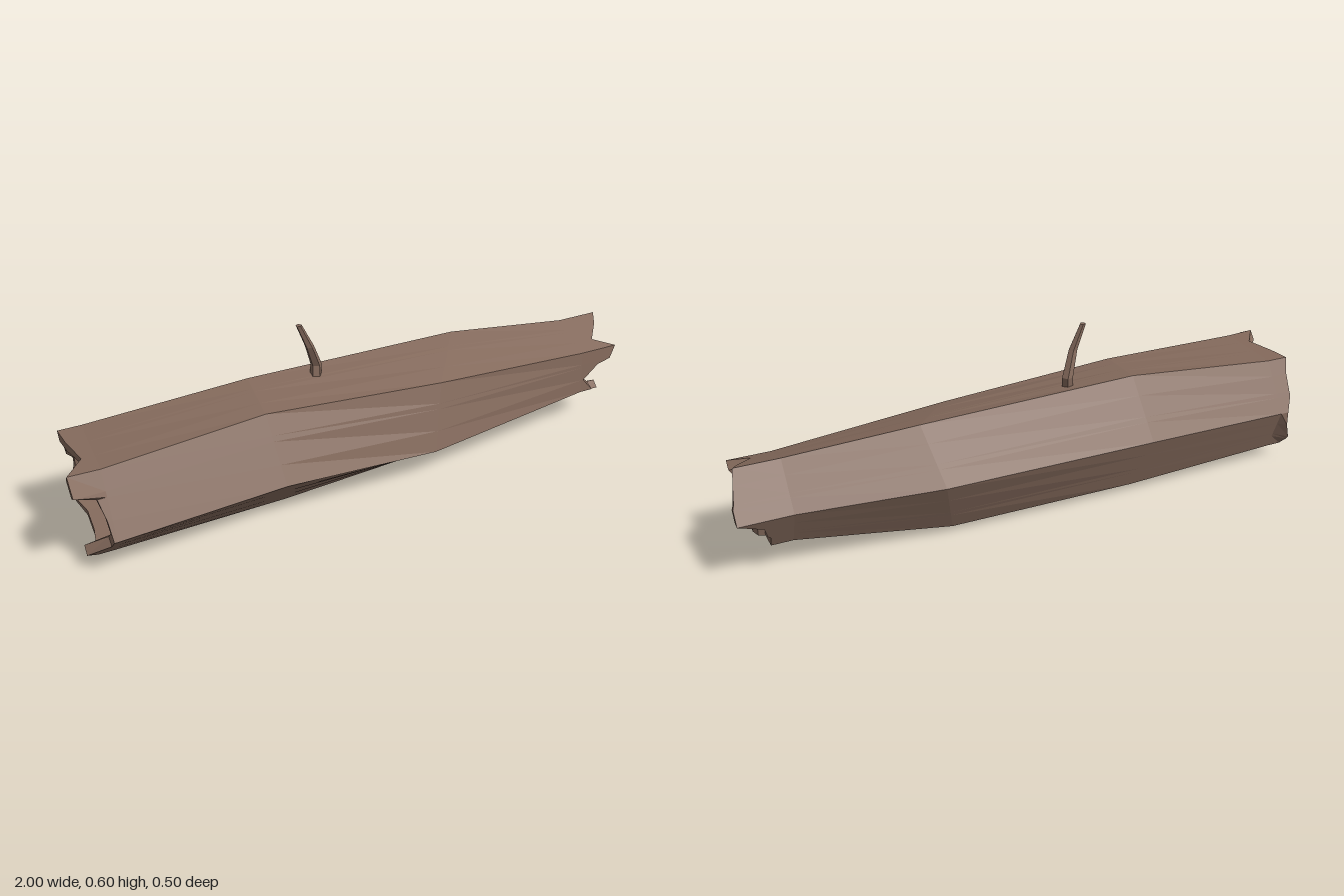
import * as THREE from 'three';

const bark = new THREE.MeshStandardMaterial({ color: 0x846a5c, flatShading: true, side: THREE.DoubleSide });
const wood = new THREE.MeshStandardMaterial({ color: 0x9a937c, flatShading: true, side: THREE.DoubleSide });

// Six ridges running along the trunk: [x, y, z] at four stations
const ridges = [
  [[-0.91, 0.17, 0.245], [-0.35, 0.18, 0.215], [0.2, 0.125, 0.178], [0.9, 0.15, 0.1]],
  [[-0.91, 0.012, 0.085], [-0.3, 0.002, 0.055], [0.3, 0.01, 0.016], [0.9, 0.08, 0.005]],
  [[-0.93, 0.05, -0.165], [-0.33, 0.03, -0.165], [0.32, 0.025, -0.148], [0.9, 0.1, -0.125]],
  [[-0.94, 0.205, -0.22], [-0.37, 0.22, -0.235], [0.37, 0.235, -0.25], [0.92, 0.228, -0.187]],
  [[-0.95, 0.367, -0.115], [-0.36, 0.408, -0.095], [0.4, 0.396, -0.107], [0.92, 0.361, -0.07]],
  [[-0.93, 0.365, 0.135], [-0.37, 0.388, 0.098], [0.25, 0.345, 0.105], [0.92, 0.305, 0.085]],
];
// Points along each face, and how far the splintered bark reaches there
const steps = [0, 0.3, 0.38, 0.7];
const leftEnd = [
  -0.91, -0.91, -0.91, -0.98,
  -0.94, -0.93, -0.93, -0.93,
  -0.95, -0.95, -0.95, -0.93,
  -0.93, -0.955, -0.955, -0.96,
  -0.975, -0.965, -0.96, -0.94,
  -1, -1, -0.93, -0.915,
];
const rightEnd = [
  0.88, 0.88, 0.93, 0.93,
  0.93, 0.92, 0.9, 0.9,
  0.9, 0.9, 0.91, 0.92,
  1, 1, 0.995, 0.985,
  0.975, 0.95, 0.94, 0.9,
  0.97, 0.95, 0.9, 0.84,
];
// Splinters that bend away from the left end
const flare = { 9: 1.1, 10: 1.12, 11: 1.08, 20: 1.02, 21: 1.24 };

function station(s) {
  const ring = [];
  for (let e = 0; e < 6; e++) {
    const a = new THREE.Vector3(...ridges[e][s]);
    const b = new THREE.Vector3(...ridges[(e + 1) % 6][s]);
    for (const t of steps) ring.push(a.clone().lerp(b, t));
  }
  return ring;
}

function shrink(ring, f, cy, cz, xs) {
  return ring.map((p, i) => new THREE.Vector3(
    Array.isArray(xs) ? xs[i] : xs, cy + (p.y - cy) * f, cz + (p.z - cz) * f));
}

function geometryFrom(tri) {
  const g = new THREE.BufferGeometry().setFromPoints(tri);
  g.computeVertexNormals();
  return g;
}

function loft(rings) {
  const tri = [];
  for (let i = 0; i < rings.length - 1; i++) {
    const n = rings[i].length;
    for (let j = 0; j < n; j++) {
      const k = (j + 1) % n;
      const a = rings[i][j], b = rings[i + 1][j], c = rings[i + 1][k], d = rings[i][k];
      tri.push(a, d, c, a, c, b);
    }
  }
  return geometryFrom(tri);
}

function fan(ring, flip) {
  const mid = ring.reduce((s, p) => s.add(p), new THREE.Vector3()).divideScalar(ring.length);
  const tri = [];
  ring.forEach((p, i) => {
    const q = ring[(i + 1) % ring.length];
    tri.push(mid, ...(flip ? [q, p] : [p, q]));
  });
  return geometryFrom(tri);
}

export function createModel() {
  const group = new THREE.Group();
  const add = (name, geometry, material) => {
    const mesh = new THREE.Mesh(geometry, material);
    mesh.name = name;
    group.add(mesh);
  };

  // Bark: one skin that folds over both jagged rims into the hollow ends
  const [l, m1, m2, r] = [0, 1, 2, 3].map(station);
  const left = l.map((p, i) => {
    const f = flare[i] || 1;
    return new THREE.Vector3(leftEnd[i], 0.2 + (p.y - 0.2) * f, 0.02 + (p.z - 0.02) * f);
  });
  const right = r.map((p, i) => new THREE.Vector3(rightEnd[i], p.y, p.z));
  const leftInner = shrink(left, 0.83, 0.2, -0.01, leftEnd);
  const rightInner = shrink(right, 0.78, 0.215, -0.04, rightEnd);
  const leftCore = shrink(l, 0.78, 0.2, -0.01, -0.86);
  const rightCore = shrink(r, 0.72, 0.215, -0.04, 0.82);
  // Straight collars keep the long bark faces regular
  add('bark', loft([leftCore, leftInner, left, l.map((p) => p.clone().setX(-0.9)), m1, m2,
    r.map((p) => p.clone().setX(0.83)), right, rightInner, rightCore]), bark);

  // Pale wood recessed in each end
  add('leftHeartwood', fan(leftCore, true), wood);
  add('rightHeartwood', fan(rightCore, false), wood);

  // Crooked twig on top: [x, y, z, radius]
  const twig = [
    [-0.14, 0.375, -0.043, 0.02], [-0.135, 0.43, -0.053, 0.019],
    [-0.165, 0.515, -0.03, 0.015], [-0.2, 0.6, -0.029, 0.01],
  ].map(([x, y, z, rad]) => Array.from({ length: 5 }, (_, i) => {
    const a = (i / 5) * Math.PI * 2;
    return new THREE.Vector3(x + rad * Math.cos(a), y, z + rad * Math.sin(a));
  }));
  add('twig', loft(twig), bark);
  add('twigTip', fan(twig[3], true), bark);
  return group;
}
